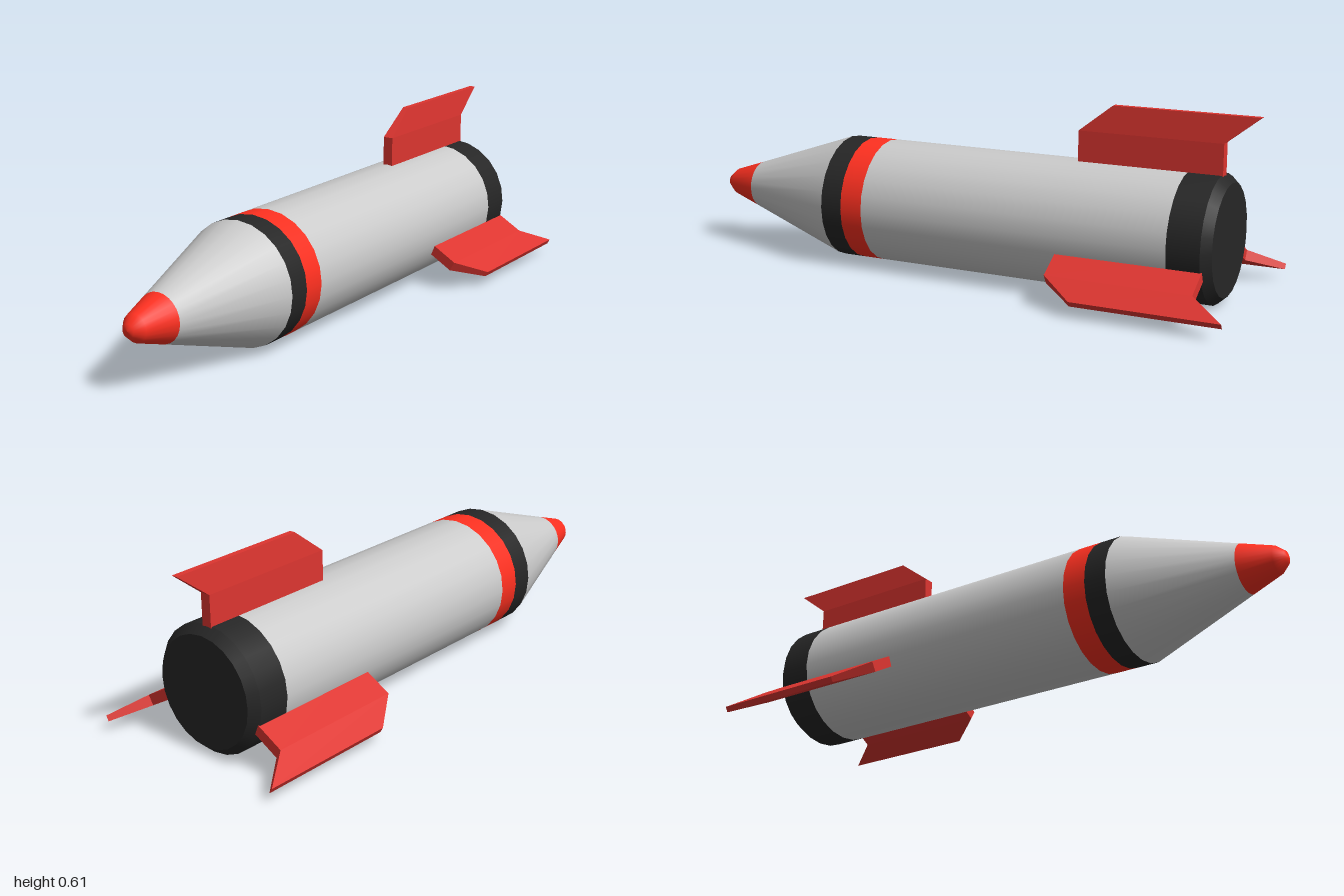
import * as THREE from 'three';

const grey = new THREE.MeshStandardMaterial({ color: 0xcccccc });
const red = new THREE.MeshStandardMaterial({ color: 0xff3020 });
const finRed = new THREE.MeshStandardMaterial({ color: 0xdd3530 });
const black = new THREE.MeshStandardMaterial({ color: 0x262626 });

const R = 0.212; // body radius
const AXIS_Y = 0.213; // height of the body axis

// Turned section along z; profile is a list of [radius, z], from rear to front
function section(name, material, profile) {
  const geometry = new THREE.LatheGeometry(profile.map(([r, z]) => new THREE.Vector2(r, z)), 24);
  geometry.rotateX(Math.PI / 2);
  const mesh = new THREE.Mesh(geometry, material);
  mesh.name = name;
  return mesh;
}

// Swept fin growing along +y: straight root, then a tapered, raked tip
function finGeometry() {
  const levels = [
    { y: 0, half: 0.018, front: -0.395, back: -0.885 },
    { y: 0.16, half: 0.018, front: -0.395, back: -0.885 },
    { y: 0.25, half: 0.01, front: -0.51, back: -1 },
  ];
  const geometry = new THREE.BoxGeometry(2, 2, 2, 1, 2, 1).toNonIndexed();
  const p = geometry.attributes.position;
  for (let i = 0; i < p.count; i++) {
    const level = levels[Math.round(p.getY(i)) + 1];
    p.setXYZ(i, p.getX(i) * level.half, level.y, p.getZ(i) > 0 ? level.front : level.back);
  }
  geometry.computeVertexNormals();
  return geometry;
}

export function createModel() {
  const model = new THREE.Group();
  model.name = 'rocket';

  // Body, built from rear to nose
  const body = new THREE.Group();
  body.name = 'body';
  body.position.set(0.002, AXIS_Y, 0);
  body.add(
    section('rearCap', black, [[0, -0.91], [0.185, -0.91]]),
    section('rearBevel', black, [[0.185, -0.91], [R, -0.88]]),
    section('rearBand', black, [[R, -0.88], [R, -0.77]]),
    section('fuselage', grey, [[R, -0.77], [R, 0.32]]),
    section('redBand', red, [[R, 0.32], [R, 0.4]]),
    section('blackBand', black, [[R, 0.4], [R, 0.477]]),
    section('noseCone', grey, [[R, 0.477], [0.082, 0.86]]),
    section('noseTip', red, [[0.082, 0.86], [0.046, 0.967], [0.022, 0.996], [0, 1]]),
  );
  model.add(body);

  // Three fins: root position and roll angle
  const geometry = finGeometry();
  const addFin = (name, x, y, angle) => {
    const fin = new THREE.Mesh(geometry, finRed);
    fin.name = name;
    fin.position.set(x, y, 0);
    fin.rotation.z = angle;
    model.add(fin);
  };
  addFin('topFin', 0.002, 0.365, 0);
  for (const [name, side] of [['leftFin', 1], ['rightFin', -1]]) {
    addFin(name, side * 0.14, 0.171, -side * Math.PI * 2 / 3);
  }
  return model;
}
